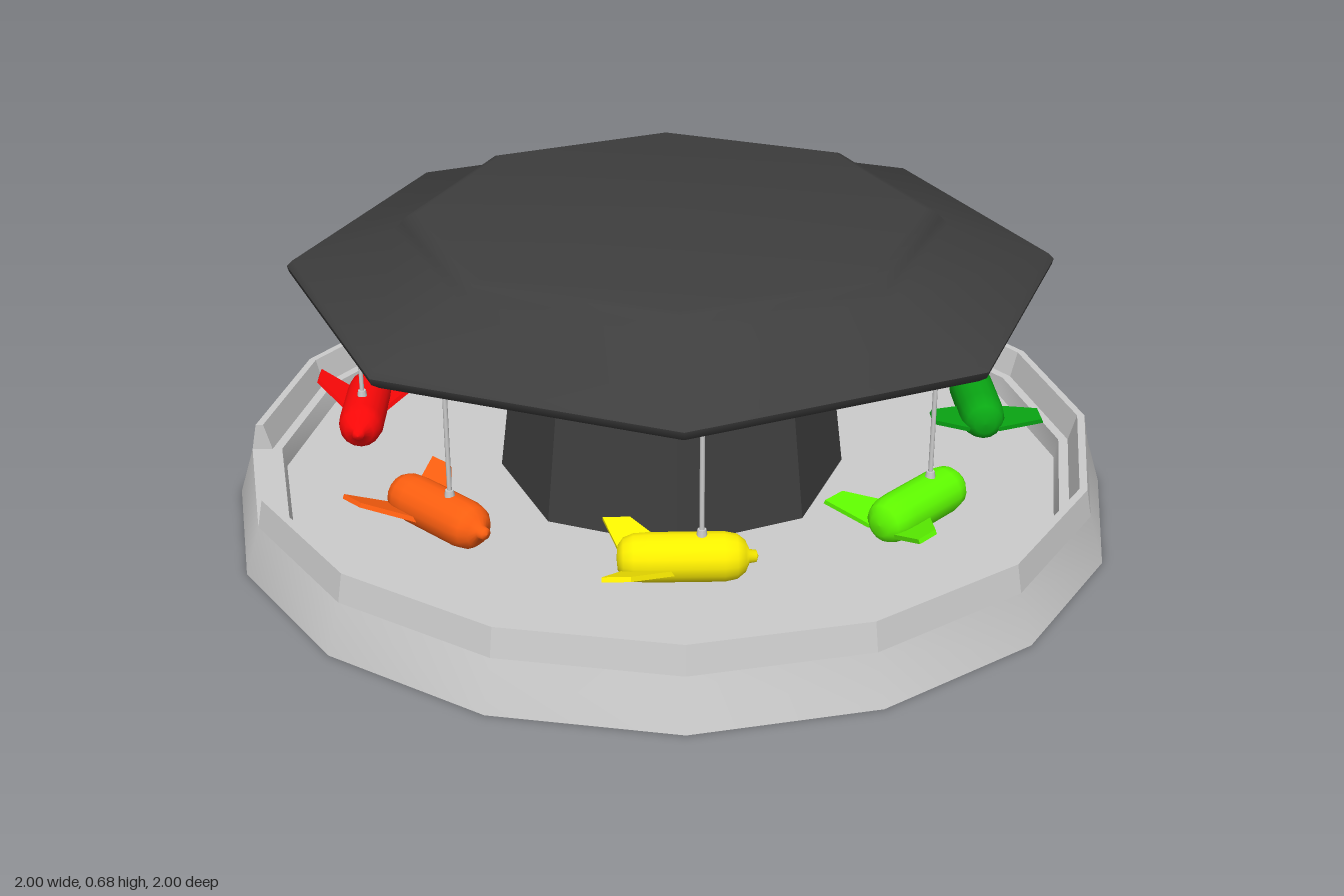
import * as THREE from 'three';
import { toCreasedNormals } from 'three/addons/utils/BufferGeometryUtils.js';

const GREY = 0xcccccc, DARK = 0x3e3e3e;
const STEP = Math.PI / 8; // one of the sixteen sides of the base
const points = (list) => list.map(([x, y]) => new THREE.Vector2(x, y));

function mesh(name, geometry, color, options = {}) {
  const m = new THREE.Mesh(geometry, new THREE.MeshStandardMaterial({ color, ...options }));
  m.name = name;
  return m;
}

// Turned solid with few sides, creased only where edges are sharper than the limit
function turned(profile, sides, crease) {
  return toCreasedNormals(new THREE.LatheGeometry(points(profile), sides), crease);
}

// Swept, raised wing; side is +1 or -1
function fin(side, color) {
  const outline = [[0, 0.035], [-0.1, 0.132], [-0.156, 0.132], [-0.118, 0.035]];
  const shape = new THREE.Shape(points(outline.map(([t, s]) => [t, s * side])));
  const geometry = new THREE.ExtrudeGeometry(shape, { depth: 0.01, bevelEnabled: false });
  geometry.translate(0, 0, -0.005).rotateX(Math.PI / 2).rotateX(-side * 0.41).translate(0, -0.031, 0);
  return mesh('fin', geometry, color, { flatShading: true });
}

// Rocket car hanging from the canopy, nose toward +x
function rocketCar(color) {
  const car = new THREE.Group();
  car.name = 'rocketCar';
  const hull = [
    [0, -0.128], [0.024, -0.126], [0.04, -0.115], [0.048, -0.095], [0.05, -0.065],
    [0.05, 0.085], [0.045, 0.11], [0.032, 0.126], [0.014, 0.134], [0.012, 0.148], [0, 0.152],
  ];
  const body = mesh('rocketBody', new THREE.LatheGeometry(points(hull), 16).rotateZ(-Math.PI / 2), color);
  const pole = mesh('pole', new THREE.CylinderGeometry(0.005, 0.005, 0.3, 8), GREY);
  pole.position.set(0.04, 0.19, 0);
  const collar = mesh('poleCollar', new THREE.CylinderGeometry(0.009, 0.012, 0.02, 8), GREY);
  collar.position.set(0.04, 0.052, 0);
  car.add(body, fin(1, color), fin(-1, color), pole, collar);
  return car;
}

export function createModel() {
  const model = new THREE.Group();
  model.name = 'carousel';

  // Sixteen-sided platform with a raised ledge around a sunken floor
  const platform = [[0, 0], [1, 0], [0.966, 0.108], [0.898, 0.108], [0.89, 0.063], [0, 0.063]];
  model.add(mesh('platform', turned(platform, 16, 0.6), GREY));

  // Low wall with one side left open as the entrance
  const wall = [[0.966, 0.108], [0.954, 0.17], [0.937, 0.17], [0.92, 0.108]];
  const start = 13 * STEP;
  model.add(mesh('wall', new THREE.LatheGeometry(points(wall), 15, start, 15 * STEP), GREY, { flatShading: true }));
  for (const angle of [start, start - STEP]) {
    const end = mesh('wallEnd', new THREE.ShapeGeometry(new THREE.Shape(points(wall))), GREY, { side: THREE.DoubleSide });
    end.rotation.y = angle - Math.PI / 2;
    model.add(end);
  }

  // Tapered central column
  const column = mesh('column', new THREE.CylinderGeometry(0.336, 0.395, 0.48, 8), DARK, { flatShading: true });
  column.position.y = 0.3;
  model.add(column);

  // Octagonal canopy with a softly rounded rim
  const canopy = [
    [0, 0.53], [0.8, 0.53], [0.83, 0.534], [0.848, 0.546], [0.852, 0.56], [0.84, 0.572],
    [0.61, 0.645], [0.595, 0.66], [0.58, 0.675], [0.56, 0.681], [0, 0.681],
  ];
  model.add(mesh('canopy', turned(canopy, 8, 1.0), DARK));

  // Ring of rocket cars
  const colors = [0xfff000, 0x5fff00, 0x0aa814, 0x12b090, 0x0a30ff, 0x7a0aff, 0xff0808, 0xff5f10];
  colors.forEach((color, i) => {
    const car = rocketCar(color);
    const angle = (i * Math.PI) / 4;
    car.position.set(0.7 * Math.sin(angle), 0.212, 0.7 * Math.cos(angle));
    car.rotation.y = angle;
    model.add(car);
  });

  return model;
}
